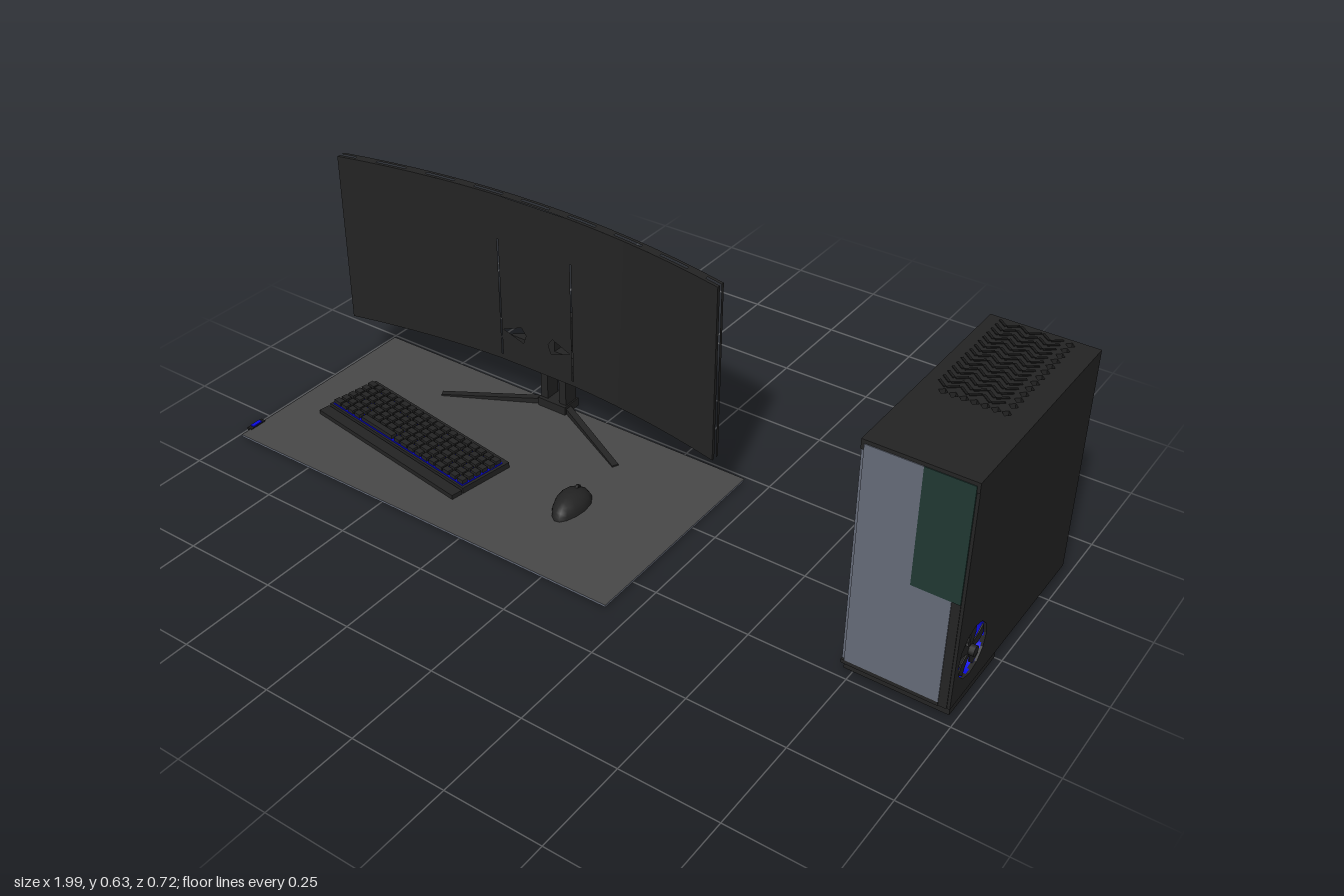
import * as THREE from 'three';
import { mergeGeometries } from 'three/addons/utils/BufferGeometryUtils.js';

const paint = (name, color, side = THREE.FrontSide) => {
  const m = new THREE.MeshStandardMaterial({ color, side });
  m.name = name;
  return m;
};

export function createModel() {
  const black = paint('black', 0x242424);
  const charcoal = paint('charcoal', 0x1a1a1a);
  const matGrey = paint('matGrey', 0x484848);
  const glass = paint('smokedGlass', 0x666c79);
  const green = paint('darkGreenGlass', 0x203833);
  const blue = paint('blueLight', 0x0a0af0, THREE.DoubleSide);
  const metal = paint('lightMetal', 0xb4b4b4);

  const model = new THREE.Group();
  const group = (name, parent = model) => {
    const g = new THREE.Group();
    g.name = name;
    parent.add(g);
    return g;
  };
  const add = (parent, name, geo, mat, x = 0, y = 0, z = 0) => {
    const m = new THREE.Mesh(geo, mat);
    m.name = name;
    m.position.set(x, y, z);
    parent.add(m);
    return m;
  };
  // Box given by its limits on each axis
  const box = (parent, name, mat, [x0, x1], [y0, y1], [z0, z1]) =>
    add(parent, name, new THREE.BoxGeometry(x1 - x0, y1 - y0, z1 - z0), mat,
      (x0 + x1) / 2, (y0 + y1) / 2, (z0 + z1) / 2);
  const polygon = (pts) => new THREE.Shape(pts.map(([x, y]) => new THREE.Vector2(x, y)));
  const extrude = (shape, depth) => new THREE.ExtrudeGeometry(shape, { depth, bevelEnabled: false });
  // Plate with regular polygon holes [x, y, radius, sides]
  const plate = (x0, y0, x1, y1, depth, holes) => {
    const s = polygon([[x0, y0], [x1, y0], [x1, y1], [x0, y1]]);
    for (const [cx, cy, r, n] of holes) {
      const pts = [];
      for (let i = 0; i < n; i++) {
        const a = -i / n * Math.PI * 2;
        pts.push([cx + r * Math.cos(a), cy + r * Math.sin(a)]);
      }
      s.holes.push(polygon(pts));
    }
    return extrude(s, depth);
  };

  // Desk mat with a rubber underside and light edge
  const mat = add(model, 'deskMat', new THREE.BoxGeometry(1.175, 0.006, 0.595),
    [glass, glass, matGrey, black, glass, glass], -0.4025, 0.003, 0.0625);
  mat.receiveShadow = false;
  box(model, 'matTag', charcoal, [-1, -0.985], [0, 0.008], [0.28, 0.33]);
  box(model, 'matTagLight', blue, [-0.998, -0.987], [0.008, 0.011], [0.29, 0.32]);

  // Curved monitor: open front and back shells with a slot around the rim
  const monitor = group('monitor');
  monitor.position.set(-0.4, 0, -0.162);
  const bend = (geo) => {
    const p = geo.attributes.position;
    for (let i = 0; i < p.count; i++) p.setZ(i, p.getZ(i) + 0.07 * (p.getX(i) / 0.585) ** 2);
    geo.computeVertexNormals();
    return geo;
  };
  const half = [[0.117, 0.155], [0.117, 0.17], [0.113, 0.17], [0.113, 0.51], [0.117, 0.51], [0.117, 0.635]];
  const outline = [...half, ...half.map(([x, y]) => [-x, y]).reverse()];
  for (const [name, turn, z] of [['screen', 0, 0.013], ['backShell', Math.PI, -0.012]]) {
    for (const s of [-1, 1]) {
      const wing = new THREE.PlaneGeometry(0.468, 0.48, 7, 1).rotateY(turn).translate(s * 0.351, 0.395, z);
      add(monitor, name + 'Wing', bend(wing), black);
    }
    const middle = polygon(outline);
    if (!turn) for (const s of [-1, 1]) {
      middle.holes.push(polygon([[s * 0.108, 0.247], [s * 0.05, 0.27], [s * 0.036, 0.25], [s * 0.045, 0.225]]));
    }
    add(monitor, name + 'Middle', bend(new THREE.ShapeGeometry(middle).rotateY(turn).translate(0, 0, z)), black);
  }
  for (const z of [0.0085, -0.008]) {
    for (const s of [-1, 1]) {
      const edge = new THREE.PlaneGeometry(1.17, 0.009, 16, 1).rotateX(-s * Math.PI / 2);
      add(monitor, 'rimEdge', bend(edge.translate(0, 0.395 + s * 0.24, z)), black);
      const side = new THREE.PlaneGeometry(0.009, 0.48).rotateY(s * Math.PI / 2);
      add(monitor, 'rimSide', bend(side.translate(s * 0.585, 0.395, z)), black);
    }
  }
  for (let i = 0; i < 8; i++) for (const s of [-1, 1]) {
    const dash = new THREE.PlaneGeometry(0.06, 0.009).rotateX(-s * Math.PI / 2);
    add(monitor, 'rimBridge', bend(dash.translate(-0.51 + i * 0.1457, 0.395 + s * 0.24, 0)), black);
  }

  // Monitor stand: bracket, twin-post column, splayed feet
  const stand = group('monitorStand');
  stand.position.x = -0.4;
  const bracket = polygon([[-0.11, 0.17], [0.11, 0.17], [0.03, 0.235], [0.02, 0.29], [-0.02, 0.29], [-0.03, 0.235]]);
  add(stand, 'bracket', extrude(bracket, 0.025).rotateX(-Math.PI / 2), black, 0, 0.195, 0);
  box(stand, 'bracketBlock', black, [-0.04, 0.04], [0.2, 0.27], [-0.25, -0.17]);
  box(stand, 'columnTop', black, [-0.025, 0.025], [0.15, 0.27], [-0.285, -0.22]);
  box(stand, 'columnBridge', black, [-0.045, 0.045], [0.12, 0.155], [-0.26, -0.205]);
  box(stand, 'columnBase', black, [-0.045, 0.045], [0.006, 0.03], [-0.26, -0.2]);
  for (const s of [-1, 1]) {
    box(stand, 'post', black, [s * 0.03 - 0.011, s * 0.03 + 0.011], [0.02, 0.2], [-0.255, -0.21]);
    const foot = extrude(polygon([[0, 0], [0.325, 0], [0.325, 0.004], [0, 0.018]]), 0.018).translate(0, 0, -0.009);
    add(stand, 'foot', foot, black, 0, 0.006, -0.24).rotation.y = Math.atan2(-0.15, s * 0.29);
  }

  // Keyboard with lit gaps and wrist rest
  const keyboard = group('keyboard');
  keyboard.position.set(-0.61, 0.006, 0.12);
  keyboard.rotation.y = -0.16;
  box(keyboard, 'keyboardBody', black, [-0.27, 0.27], [0, 0.016], [-0.095, 0.06]);
  box(keyboard, 'backlight', blue, [-0.262, 0.262], [0.016, 0.018], [-0.08, 0.054]);
  box(keyboard, 'wristRest', black, [-0.27, 0.27], [0, 0.012], [0.064, 0.095]);
  const keys = [];
  const key = (x, z, w) => keys.push(new THREE.BoxGeometry(w, 0.012, 0.0165).translate(x, 0.023, z));
  for (let r = 0; r < 6; r++) {
    for (let c = 0; c < 19; c++) {
      if (r === 5 && c > 3 && c < 9) continue;
      key(-0.248 + c * 0.0276, -0.069 + r * 0.0224, (c + r * 2) % 5 ? 0.021 : 0.0255);
    }
  }
  key(-0.0824, 0.043, 0.125);
  add(keyboard, 'keys', mergeGeometries(keys), black);

  // Mouse, narrower toward its tail
  const mouse = group('mouse');
  mouse.position.set(-0.105, 0.006, 0.108);
  mouse.rotation.y = 0.15;
  const shell = new THREE.SphereGeometry(1, 14, 6, 0, Math.PI * 2, 0, Math.PI / 2);
  const sp = shell.attributes.position;
  for (let i = 0; i < sp.count; i++) {
    const z = sp.getZ(i);
    sp.setXYZ(i, sp.getX(i) * 0.042 * (1 - 0.25 * z), sp.getY(i) * 0.038, z * 0.072);
  }
  shell.computeVertexNormals();
  add(mouse, 'mouseShell', shell, black);
  const wheel = new THREE.CylinderGeometry(0.01, 0.01, 0.007, 12).rotateZ(Math.PI / 2);
  add(mouse, 'scrollWheel', wheel, charcoal, 0, 0.028, -0.04);

  // Five-bladed fan facing +z, with a lit ring
  const fan = (parent, name, r) => {
    const f = group(name, parent);
    add(f, 'lightRing', new THREE.CylinderGeometry(r, r, 0.02, 20, 1, true).rotateX(Math.PI / 2), blue, 0, 0, -0.012);
    add(f, 'hub', new THREE.CylinderGeometry(r * 0.2, r * 0.2, 0.022, 12).rotateX(Math.PI / 2), black);
    const blade = polygon([[0.15, -0.1], [0.55, -0.3], [0.93, -0.22], [0.95, 0.2], [0.6, 0.12], [0.15, 0.12]]
      .map(([x, y]) => [x * r, y * r]));
    for (let i = 0; i < 5; i++) {
      add(f, 'blade', extrude(blade, 0.003), black, 0, 0, -0.005).rotation.z = i * Math.PI * 0.4 + 0.3;
    }
    return f;
  };

  // Computer tower walls
  const tower = group('computerTower');
  const sideWall = add(tower, 'sideWall', plate(-0.23, 0.025, 0.357, 0.617, 0.01, [[-0.148, 0.133, 0.066, 12]]), black, 0.975);
  sideWall.rotation.y = Math.PI / 2;
  box(tower, 'glassSide', glass, [0.725, 0.733], [0.03, 0.61], [-0.35, 0.228]);
  const rear = plate(-0.985, 0.025, -0.725, 0.617, 0.008, [[-0.8, 0.47, 0.066, 16], [-0.8, 0.32, 0.066, 16]]);
  add(tower, 'rearWall', rear, black, 0, 0, -0.349).rotation.y = Math.PI;
  box(tower, 'rearCover', metal, [0.885, 0.94], [0.25, 0.54], [-0.36, -0.356]);
  box(tower, 'rearSlot', charcoal, [0.74, 0.96], [0.14, 0.146], [-0.36, -0.356]);
  const diamonds = [];
  for (let i = 0; i < 12; i++) diamonds.push([0.922, 0.335 - i * 0.026, 0.011, 4]);
  for (let i = 0; i < 7; i++) diamonds.push([0.78 + i * 0.0237, 0.016, 0.011, 4]);
  add(tower, 'topPanel', plate(0.725, -0.232, 0.985, 0.357, 0.025, diamonds), black, 0, 0.592).rotation.x = -Math.PI / 2;
  const floor = new THREE.PlaneGeometry(0.26, 0.589).rotateX(Math.PI / 2);
  add(tower, 'floor', floor, black, 0.855, 0.026, -0.0625);

  // Front panels
  box(tower, 'frontGlassUpper', glass, [0.733, 0.865], [0.31, 0.608], [0.222, 0.234]);
  box(tower, 'frontGlassLower', glass, [0.733, 0.958], [0.035, 0.31], [0.222, 0.234]);
  box(tower, 'frontGreenGlass', green, [0.865, 0.978], [0.31, 0.608], [0.222, 0.234]);
  box(tower, 'frontCorner', black, [0.958, 0.978], [0.025, 0.31], [0.222, 0.232]);
  box(tower, 'frontSill', black, [0.725, 0.958], [0.025, 0.035], [0.222, 0.234]);

  // Zigzag mesh on the top
  const slats = [];
  for (let r = 0; r < 15; r++) for (let c = 0; c < 6; c++) {
    slats.push(new THREE.BoxGeometry(0.028, 0.003, 0.006).rotateY(c % 2 ? 0.7 : -0.7)
      .translate(0.765 + c * 0.0255, 0.6175, -0.335 + r * 0.021));
  }
  add(tower, 'topMesh', mergeGeometries(slats), charcoal);

  // Underside tray, feet and fans
  const tray = plate(0.728, 0, 0.982, 0.222, 0.023, [[0.855, 0.165, 0.051, 16], [0.855, 0.056, 0.051, 16]]);
  add(tower, 'fanTray', tray, black, 0, 0.025, 0).rotation.x = Math.PI / 2;
  for (const x of [0.745, 0.965]) {
    add(tower, 'rearFoot', new THREE.CylinderGeometry(0.008, 0.008, 0.026, 10), black, x, 0.013, -0.335);
  }
  for (const z of [0.165, 0.056]) {
    const f = fan(tower, 'trayFan', 0.05);
    f.position.set(0.855, 0.012, z);
    f.rotation.x = Math.PI / 2;
    const disc = new THREE.CylinderGeometry(0.05, 0.05, 0.002, 16);
    add(tower, 'trayFanLight', disc, blue, 0.855, 0.022, z);
  }
  const sideFan = fan(tower, 'sideFan', 0.065);
  sideFan.position.set(0.982, 0.133, 0.148);
  sideFan.rotation.y = Math.PI / 2;
  for (const y of [0.47, 0.32]) {
    const f = fan(tower, 'rearFan', 0.065);
    f.position.set(0.8, y, -0.35);
    f.rotation.y = Math.PI;
  }
  return model;
}
